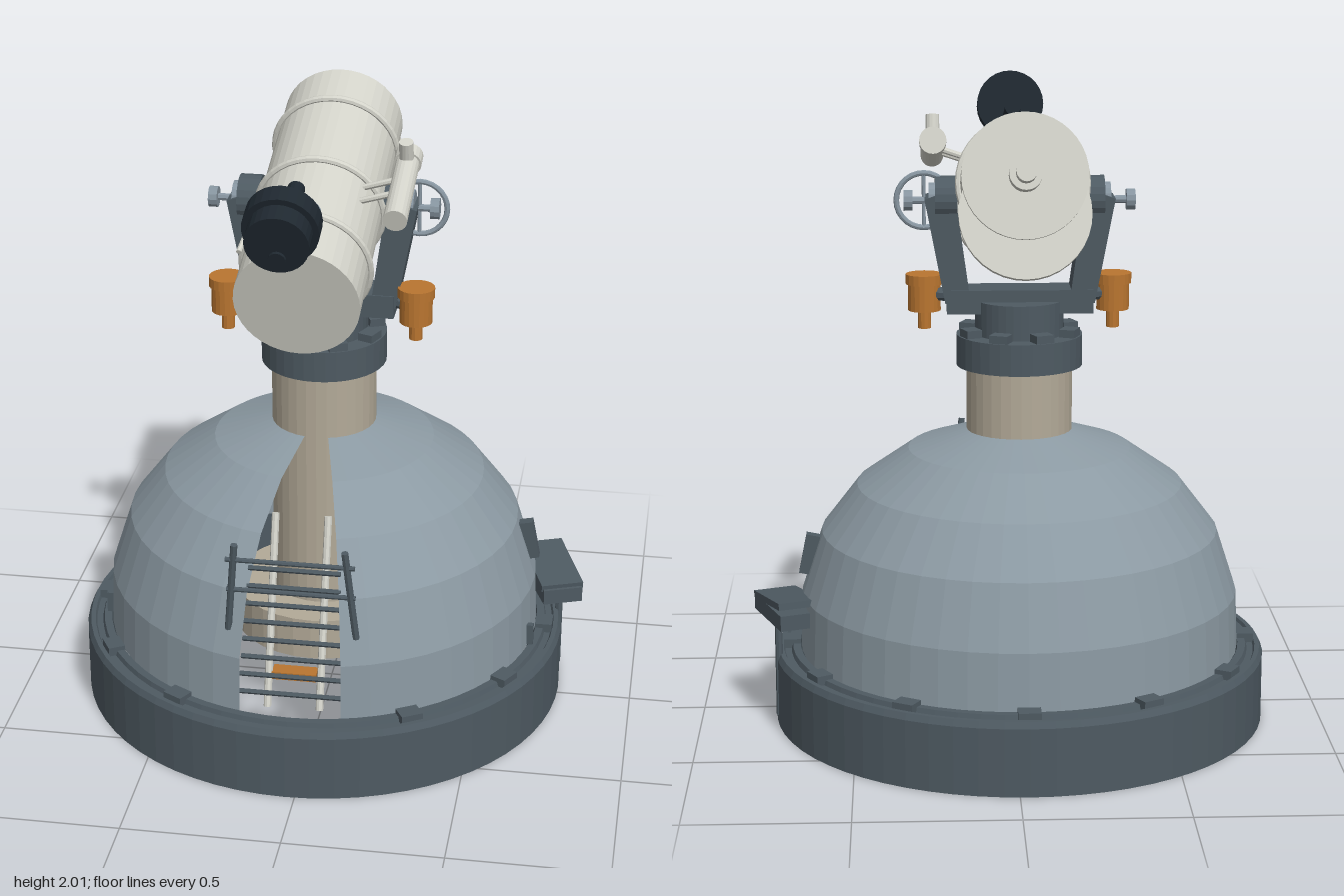
import * as THREE from 'three';

const mat = (name, color, extra = {}) => {
  const m = new THREE.MeshStandardMaterial({ color, ...extra });
  m.name = name;
  return m;
};

export function createModel() {
  const flat = { flatShading: true };
  const domeGrey = mat('domeGrey', 0x8c9aa3, { side: THREE.DoubleSide, ...flat });
  const steel = mat('darkSteel', 0x4e5a62, flat);
  const black = mat('blackMetal', 0x1f2830, flat);
  const cream = mat('creamPaint', 0xd3d3ca, flat);
  const stone = mat('pierStone', 0xb3aa98, flat);
  const orange = mat('copperOrange', 0xb97530, flat);
  const silver = mat('blueSilver', 0x8795a0, flat);

  const root = new THREE.Group();
  root.name = 'observatory';
  const building = new THREE.Group();
  building.name = 'building';
  building.position.set(-0.03, 0, -0.037);
  root.add(building);

  const add = (parent, name, geo, material, x = 0, y = 0, z = 0) => {
    const m = new THREE.Mesh(geo, material);
    m.name = name;
    m.position.set(x, y, z);
    parent.add(m);
    return m;
  };
  const box = (p, name, m, w, h, d, x, y, z) => add(p, name, new THREE.BoxGeometry(w, h, d), m, x, y, z);
  // cylinder between two points
  const rod = (p, name, m, a, b, r, sides = 8, r2 = r) => {
    const A = new THREE.Vector3(...a), B = new THREE.Vector3(...b);
    const mesh = add(p, name, new THREE.CylinderGeometry(r2, r, A.distanceTo(B), sides), m);
    mesh.position.copy(A).add(B).multiplyScalar(0.5);
    mesh.quaternion.setFromUnitVectors(new THREE.Vector3(0, 1, 0), B.sub(A).normalize());
    return mesh;
  };
  const lathe = (p, name, m, pts, sides, start = 0, sweep = Math.PI * 2) =>
    add(p, name, new THREE.LatheGeometry(pts.map(q => new THREE.Vector2(...q)), sides, start, sweep), m);

  // hollow base ring with a raised rail and clamps
  lathe(building, 'baseRing', steel, [[0.71, 0], [0.79, 0], [0.79, 0.215], [0.78, 0.235], [0.765, 0.235],
    [0.76, 0.225], [0.74, 0.225], [0.735, 0.24], [0.71, 0.24], [0.71, 0]], 64);
  for (let i = 0; i < 12; i++) {
    const a = i * Math.PI / 6;
    if (i === 0) continue;
    const c = box(building, 'clamp', steel, 0.07, 0.035, 0.055, 0.735 * Math.sin(a), 0.237, 0.735 * Math.cos(a));
    c.rotation.y = a;
    const b = box(building, 'innerBolt', steel, 0.035, 0.03, 0.02, 0.705 * Math.sin(a), 0.06, 0.705 * Math.cos(a));
    b.rotation.y = a;
  }

  // dome shell with a front slit
  const slit = 0.228;
  lathe(building, 'dome', domeGrey, [[0.707, 0.235], [0.7, 0.42], [0.635, 0.62], [0.52, 0.77], [0.355, 0.885], [0.165, 0.947]],
    44, slit, Math.PI * 2 - 2 * slit);

  // pier with wide footing
  lathe(building, 'pier', stone, [[0, 0.21], [0.295, 0.21], [0.295, 0.35], [0.168, 0.35], [0.168, 1.16], [0, 1.16]], 32);

  // collar and turntable
  lathe(building, 'collar', steel, [[0, 1.155], [0.2, 1.155], [0.2, 1.255], [0.14, 1.255], [0.14, 1.365], [0, 1.365]], 36);
  for (let i = 0; i < 8; i++) {
    const a = (i + 0.5) * Math.PI / 4;
    const b = box(building, 'collarBlock', steel, 0.06, 0.03, 0.05, 0.168 * Math.sin(a), 1.265, 0.168 * Math.cos(a));
    b.rotation.y = a;
  }

  // fork mount, mirrored left and right
  box(building, 'forkBase', steel, 0.46, 0.075, 0.13, 0, 1.365, 0);
  for (const s of [-1, 1]) {
    const side = new THREE.Group();
    side.name = s > 0 ? 'leftFork' : 'rightFork';
    building.add(side);
    const shape = new THREE.Shape([[0.155, 1.36], [0.235, 1.36], [0.298, 1.69], [0.205, 1.72]]
      .map(([x, y]) => new THREE.Vector2(x * s, y)));
    const geo = new THREE.ExtrudeGeometry(shape, { depth: 0.12, bevelEnabled: false });
    add(side, 'forkArm', geo, steel, 0, 0, -0.06);
    rod(side, 'pivotHub', steel, [s * 0.195, 1.685, 0], [s * 0.265, 1.685, 0], 0.072, 20);
    rod(side, 'pivotDisc', silver, [s * 0.22, 1.685, 0], [s * 0.285, 1.685, 0], 0.05, 16);
    rod(side, 'pivotShaft', silver, [s * 0.28, 1.68, 0], [s * 0.34, 1.68, 0], 0.012);
    rod(side, 'pivotKnob', silver, [s * 0.335, 1.68, 0], [s * 0.363, 1.68, 0], 0.033, 12);
    // hanging drive motor
    rod(side, 'motorBody', orange, [s * 0.3, 1.32, 0.055], [s * 0.3, 1.415, 0.055], 0.052, 20);
    rod(side, 'motorRim', orange, [s * 0.3, 1.405, 0.055], [s * 0.3, 1.437, 0.055], 0.059, 20);
    rod(side, 'motorStub', orange, [s * 0.3, 1.262, 0.055], [s * 0.3, 1.325, 0.055], 0.021, 12);
    rod(side, 'motorBracket', steel, [s * 0.2, 1.375, 0.02], [s * 0.29, 1.375, 0.05], 0.022);
  }
  add(building, 'handWheel', new THREE.TorusGeometry(0.086, 0.009, 8, 28), silver, 0.3, 1.68, 0);
  rod(building, 'handWheelSpoke', silver, [0.3, 1.6, 0], [0.3, 1.76, 0], 0.006);

  // tilted telescope: local +z points to the front end
  const scope = new THREE.Group();
  scope.name = 'telescope';
  scope.position.set(-0.03, 1.685, 0.02);
  scope.rotation.x = 0.272;
  root.add(scope);
  rod(scope, 'tube', cream, [0, 0, -0.482], [0, 0, 0.482], 0.191, 40);
  for (const z of [-0.31, 0.02, 0.3])
    add(scope, 'tubeBand', new THREE.TorusGeometry(0.195, 0.012, 8, 40), cream, 0, 0, z);
  const cover = rod(scope, 'rearCover', cream, [0, -0.11, -0.46], [0, -0.112, -0.432], 0.2, 36);
  cover.name = 'rearCover';
  rod(scope, 'rearFocuser', cream, [0, 0, -0.48], [0, 0, -0.535], 0.05, 20);
  rod(scope, 'rearEyepiece', cream, [0, 0, -0.53], [0, 0, -0.585], 0.031, 16);
  for (const s of [-1, 1]) {
    rod(scope, 'coverStrut', cream, [s * 0.188, -0.07, -0.36], [s * 0.16, -0.16, -0.44], 0.009);
    // thin vanes reaching toward the counterweight
    rod(scope, 'vane', silver, [s * 0.008, 0.185, 0.33], [s * 0.045, 0.255, 0.44], 0.005, 6);
    rod(scope, 'vane', silver, [s * 0.005, 0.185, 0.34], [s * 0.022, 0.205, 0.47], 0.005, 6);
  }
  const boss = add(scope, 'vaneBoss', new THREE.SphereGeometry(0.052, 18, 10), silver, 0, 0.185, 0.28);
  boss.scale.y = 0.5;
  rod(scope, 'sideHandle', cream, [-0.155, 0.125, 0.15], [-0.185, 0.1, 0.38], 0.013, 8, 0.008);

  // finder scope on the left side
  rod(scope, 'finderTube', cream, [0.27, 0.166, -0.05], [0.27, 0.166, 0.272], 0.037, 20);
  rod(scope, 'finderRim', cream, [0.27, 0.166, -0.07], [0.27, 0.166, -0.02], 0.043, 20);
  rod(scope, 'finderEyepiece', cream, [0.27, 0.17, -0.008], [0.27, 0.256, -0.008], 0.022, 14);
  for (const z of [0.05, 0.12])
    rod(scope, 'finderBracket', cream, [0.14, 0.12, z], [0.26, 0.16, z], 0.01);

  // dark counterweight ahead of the tube
  rod(scope, 'weightRod', black, [0, 0.338, 0.37], [0, 0.338, 0.72], 0.026, 14);
  rod(scope, 'weightDisc', black, [0, 0.384, 0.578], [0, 0.384, 0.645], 0.112, 28);
  rod(scope, 'weightFace', black, [0, 0.384, 0.64], [0, 0.384, 0.71], 0.094, 28);

  // ladder inside the slit
  for (const x of [-0.11, 0.055])
    rod(root, 'ladderRail', cream, [x, 0.23, 0.6], [x, 0.82, 0.42], 0.012);
  for (let i = 0; i < 8; i++) {
    const y = 0.3 + i * 0.056;
    const w = 0.165 - i * 0.003;
    rod(root, 'ladderRung', steel, [-0.03 - w, y, 0.635 - i * 0.012], [-0.03 + w, y, 0.635 - i * 0.012], 0.008, 6);
  }
  box(root, 'ladderStep', orange, 0.14, 0.025, 0.05, -0.03, 0.327, 0.55);

  // leaning safety rail in front of the slit
  for (const s of [-1, 1])
    rod(root, 'guardPost', steel, [-0.03 + s * 0.2, 0.5, 0.6], [-0.03 + s * 0.17, 0.815, 0.638], 0.011);
  for (const [y, z] of [[0.76, 0.632], [0.65, 0.618]])
    rod(root, 'guardBar', steel, [-0.23, y, z], [0.17, y, z], 0.008);

  // side console on a post
  const desk = new THREE.Group();
  desk.name = 'sideConsole';
  desk.position.set(0.7, 0.37, -0.115);
  desk.rotation.y = 0.36;
  root.add(desk);
  box(desk, 'consoleBody', steel, 0.13, 0.05, 0.27, 0.02, 0, 0);
  const top = box(desk, 'consoleTop', steel, 0.14, 0.022, 0.26, 0.02, 0.042, -0.005);
  top.rotation.x = 0.11;
  rod(root, 'consolePost', steel, [0.745, 0.03, -0.155], [0.745, 0.36, -0.155], 0.012);
  // small fittings on the dome side
  const vent = box(root, 'domeHandle', steel, 0.045, 0.13, 0.035, 0.645, 0.54, -0.06);
  vent.rotation.z = 0.2;
  box(root, 'domeLatch', steel, 0.03, 0.07, 0.02, 0.665, 0.275, 0.1);
  box(root, 'domeLatch', steel, 0.03, 0.07, 0.02, -0.725, 0.275, 0.1);

  return root;
}
